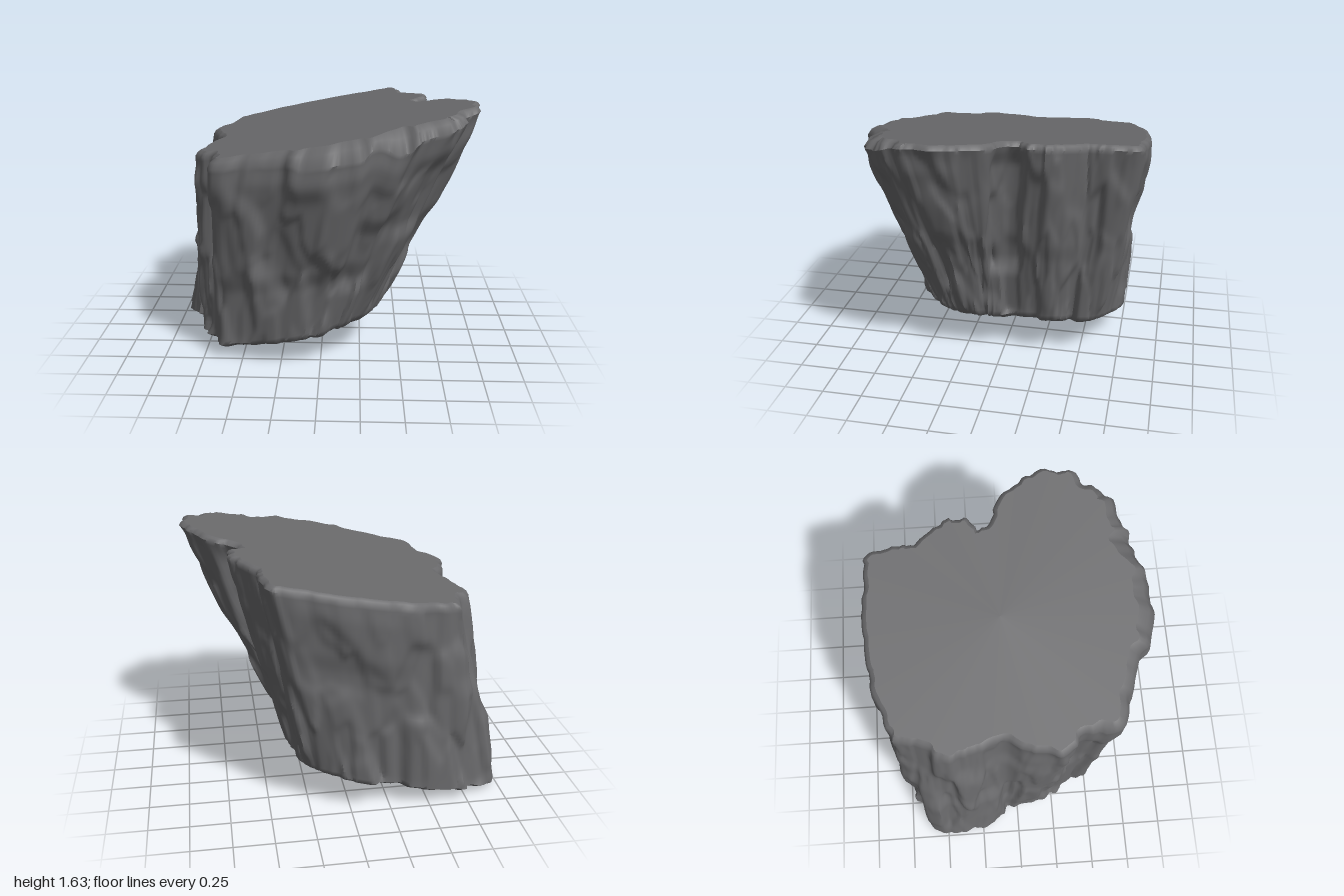
import * as THREE from 'three';
import { toCreasedNormals } from 'three/addons/utils/BufferGeometryUtils.js';

// Matching outline points, counterclockwise from above: top x, top z, bottom x, bottom z
const OUTLINE = [
  [.62, -.1, .35, 0], [.66, -.25, .35, -.15], [.64, -.39, .35, -.3], [.51, -.54, .32, -.42],
  [.51, -.68, .28, -.54], [.46, -.84, .2, -.65], [.2, -.86, .02, -.7], [-.1, -.85, -.2, -.73],
  [-.38, -.82, -.45, -.73], [-.61, -.76, -.7, -.68], [-.66, -.62, -.9, -.6], [-.73, -.45, -.96, -.46],
  [-.76, -.28, -.94, -.3], [-.7, -.1, -.89, -.15], [-.77, .06, -.81, -.02], [-.78, .25, -.79, .16],
  [-.69, .4, -.73, .33], [-.63, .63, -.65, .49], [-.36, .74, -.42, .54], [-.1, .83, -.22, .58],
  [.15, .87, -.04, .59], [.4, .81, .1, .56], [.62, .76, .2, .5], [.8, .65, .28, .41],
  [.84, .52, .32, .33], [.96, .42, .35, .25], [.9, .2, .36, .15], [.81, .04, .36, .08],
];
// Slabs and hollows: outline index, half width, start and end height (0..1), depth
const SLABS = [
  [11.8, 1.6, -.2, .42, .035], [9.6, .7, -.2, .6, .02], [14.6, 1, .1, .9, .02],
  [1.6, 1.5, .42, 1.2, .015], [25.2, 1, .5, .92, .025], [0, .6, .3, .95, -.05],
  [21.4, .7, .25, .6, -.04], [22.6, .6, .5, .85, -.04], [19.4, 2.4, .35, .95, .028],
  [16.2, .4, -.2, 1.2, -.035], [6.5, 1.2, .66, .95, .015], [27, .8, .1, .4, -.03],
];
const N = OUTLINE.length, AROUND = 336, ROWS = 48;
const topY = x => 1.468 + .19 * x;
const bottomY = x => .2 + .2 * x;
const smooth = THREE.MathUtils.smoothstep;

function hash(a, b, c) {
  const s = Math.sin(a * 127.1 + b * 311.7 + c * 74.7) * 43758.5453;
  return s - Math.floor(s);
}

// Tall fractured columns: softly blended cells, periodic around the rock
function fracture(u, t, cells, layers) {
  const a = u * cells, b = t * layers;
  let sum = 0, weight = 0;
  for (let i = Math.floor(a) - 2; i <= Math.floor(a) + 2; i++) {
    for (let j = Math.floor(b) - 2; j <= Math.floor(b) + 2; j++) {
      const k = (i + cells) % cells;
      const da = a - i - .15 - .7 * hash(k, j, 1);
      const db = b - j - .1 - .8 * hash(k, j, 2);
      const w = Math.exp(-11 * (da * da + db * db));
      sum += w * (hash(k, j, 3) - .5);
      weight += w;
    }
  }
  return sum / (weight + 1e-9);
}

function slabs(u, t) {
  let d = 0;
  for (const [index, half, t0, t1, depth] of SLABS) {
    let du = Math.abs(u * N - index);
    du = Math.min(du, N - du);
    const across = 1 - smooth(du, half * .55, half * 1.35);
    d += depth * across * smooth(t, t0 - .06, t0 + .06) * (1 - smooth(t, t1 - .06, t1 + .06));
  }
  return d;
}

function loop(ix) {
  return new THREE.CatmullRomCurve3(
    OUTLINE.map(p => new THREE.Vector3(p[ix], 0, p[ix + 1])), true, 'catmullrom', .5);
}

function surface(positions, indices) {
  const geometry = new THREE.BufferGeometry();
  geometry.setAttribute('position', new THREE.Float32BufferAttribute(positions, 3));
  geometry.setIndex(indices);
  geometry.computeVertexNormals();
  return geometry;
}

// Flat fan closing one row of the wall
function cap(ring, cx, cy, cz, up) {
  const indices = [];
  for (let i = 0; i < AROUND; i++) {
    const n = (i + 1) % AROUND;
    indices.push(AROUND, up ? i : n, up ? n : i);
  }
  return surface([...ring, cx, cy, cz], indices);
}

export function createModel() {
  const top = loop(0), bottom = loop(2);
  const positions = [], indices = [];

  // Point on the rock wall, pushed outward by "push"
  function wall(u, t, push) {
    const p = bottom.getPoint(u).lerp(top.getPoint(u), t);
    const d = bottom.getTangent(u).lerp(top.getTangent(u), t).normalize();
    p.x += -d.z * push;
    p.z += d.x * push;
    return p;
  }

  // Side rows, with a bottom and a top rim that round into the flat caps
  const rows = [{ t: 0, inset: .05, rim: -1 }];
  for (let j = 0; j <= ROWS; j++) rows.push({ t: j / ROWS, inset: 0, rim: 0 });
  rows.push({ t: 1, inset: .4, rim: .65 }, { t: 1, inset: 1, rim: 1 });

  for (const row of rows) {
    for (let i = 0; i < AROUND; i++) {
      const u = i / AROUND;
      const front = smooth(top.getPoint(u).z, .4, .75);
      const bevel = .03 + .085 * front * (.75 + .9 * fracture(u, .5, 40, 1));
      const inset = row.rim < 0 ? row.inset : row.inset * bevel * 1.1;
      const rough = .065 * fracture(u, row.t, 34, 2.7) + .03 * fracture(u, row.t, 76, 4);
      const p = wall(u, row.t, rough + slabs(u, row.t) - inset);
      const low = bottomY(p.x) + (row.rim < 0 ? 0 : .035);
      const high = topY(p.x) - bevel * (1 - Math.max(row.rim, 0));
      positions.push(p.x, THREE.MathUtils.lerp(low, high, row.t), p.z);
    }
  }
  for (let j = 0; j < rows.length - 1; j++) {
    for (let i = 0; i < AROUND; i++) {
      const n = (i + 1) % AROUND;
      const a = j * AROUND + i, b = j * AROUND + n, c = b + AROUND, d = a + AROUND;
      indices.push(a, b, c, a, c, d);
    }
  }

  const stone = new THREE.MeshStandardMaterial({ color: 0x6a6a6c });
  stone.name = 'grey stone';
  const group = new THREE.Group();
  group.name = 'leaning boulder';
  const add = (name, geometry) => {
    const mesh = new THREE.Mesh(geometry, stone);
    mesh.name = name;
    group.add(mesh);
  };
  add('rockWall', toCreasedNormals(surface(positions, indices), .9));
  add('slopingTop', cap(positions.slice(-3 * AROUND), .05, topY(.05), -.05, true));
  add('slopingBase', cap(positions.slice(0, 3 * AROUND), -.3, bottomY(-.3), -.08, false));
  return group;
}
